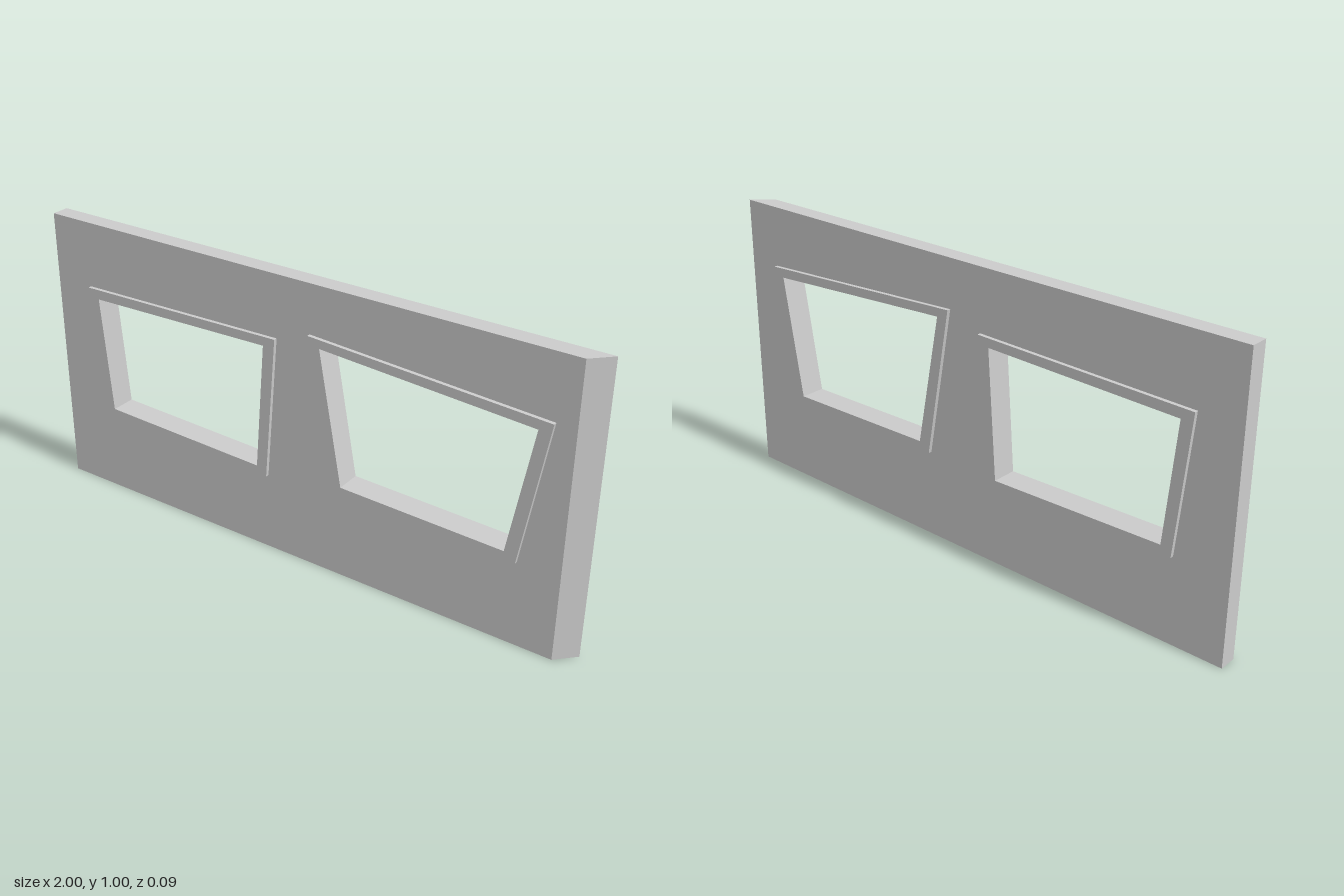
import * as THREE from 'three';

const WALL_DEPTH = 0.062;
const FRAME_DEPTH = 0.088;

// Corner lists run counterclockwise from the top corner at -x
const windows = [
  {
    name: 'rightWindowFrame',
    outer: [[-0.853, 0.77], [-0.81, 0.297], [-0.11, 0.28], [-0.071, 0.786]],
    inner: [[-0.809, 0.737], [-0.773, 0.327], [-0.147, 0.31], [-0.115, 0.754]],
  },
  {
    name: 'leftWindowFrame',
    outer: [[0.053, 0.833], [0.142, 0.31], [0.797, 0.299], [0.874, 0.788]],
    inner: [[0.097, 0.801], [0.182, 0.341], [0.758, 0.328], [0.829, 0.758]],
  },
];

const toPoints = (corners) => corners.map(([x, y]) => new THREE.Vector2(x, y));

// Flat slab with holes, centred on z = 0
function slab(outline, holes, depth) {
  const shape = new THREE.Shape(toPoints(outline));
  for (const hole of holes) shape.holes.push(new THREE.Path(toPoints(hole)));
  const geometry = new THREE.ExtrudeGeometry(shape, { depth, bevelEnabled: false });
  return geometry.translate(0, 0, -depth / 2);
}

export function createModel() {
  const group = new THREE.Group();
  group.name = 'windowWall';
  const material = new THREE.MeshStandardMaterial({ color: 0xcccccc, flatShading: true });

  const add = (name, geometry) => {
    const mesh = new THREE.Mesh(geometry, material);
    mesh.name = name;
    group.add(mesh);
  };

  // Wall panel with openings; its +x end is mitred towards the front
  const wall = slab([[-1, 0], [1, 0], [1, 1], [-1, 1]], windows.map((w) => w.outer), WALL_DEPTH);
  const pos = wall.attributes.position;
  for (let i = 0; i < pos.count; i++) {
    if (pos.getX(i) > 0.99 && pos.getZ(i) > 0) pos.setX(i, 0.938);
  }
  wall.computeVertexNormals();
  add('wallPanel', wall);

  // Frames lining the openings and standing slightly proud on both sides
  for (const { name, outer, inner } of windows) add(name, slab(outer, [inner], FRAME_DEPTH));

  return group;
}
